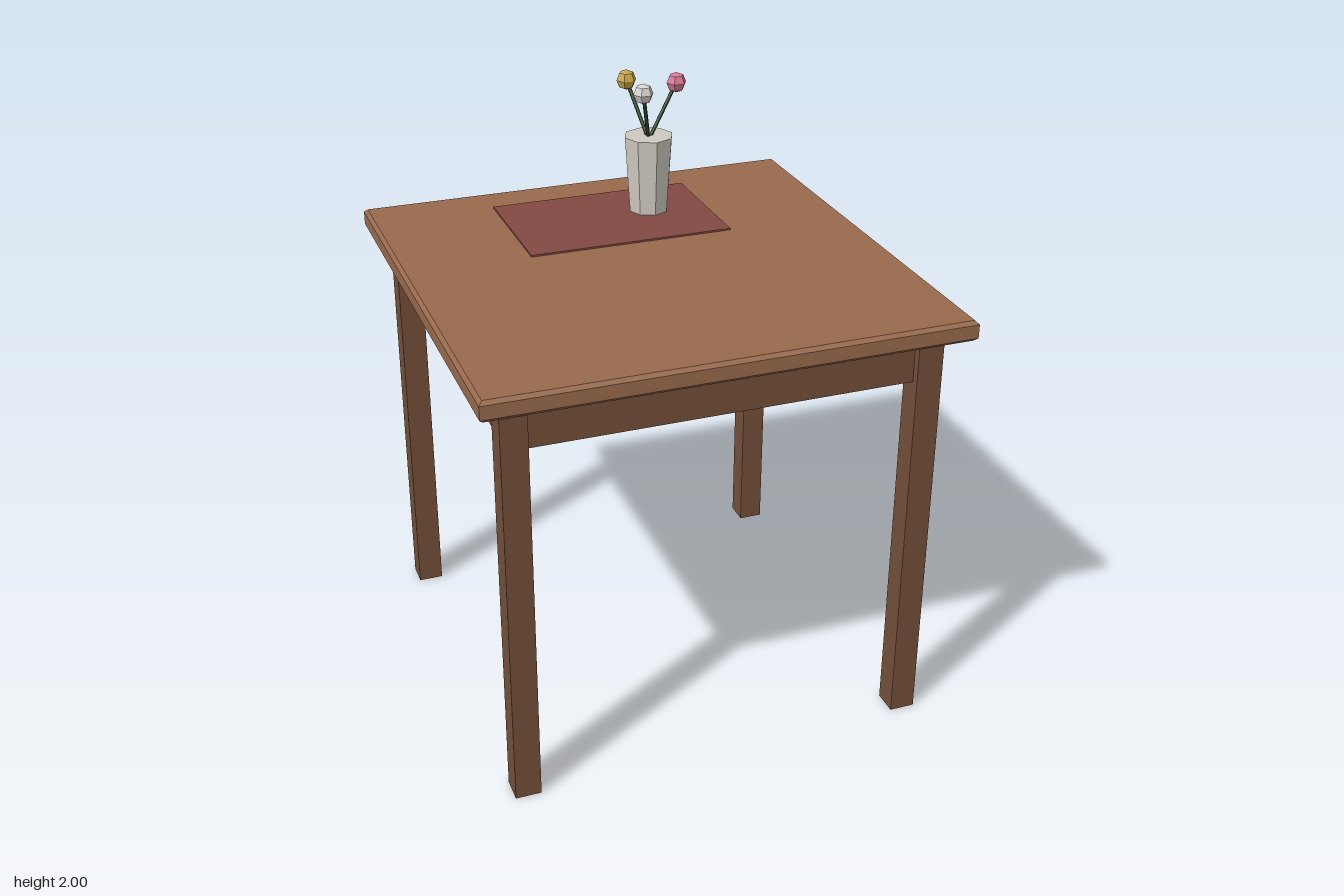
import * as THREE from 'three';

const mat = (name, color) => {
  const m = new THREE.MeshStandardMaterial({ color, flatShading: true });
  m.name = name;
  return m;
};

export function createModel() {
  const model = new THREE.Group();
  model.name = 'diningTable';

  const topWood = mat('topWood', 0x986a4d);
  const frameWood = mat('frameWood', 0x744f3a);
  const cloth = mat('cloth', 0x824a42);
  const ceramic = mat('ceramic', 0xcfcac0);
  const stemGreen = mat('stemGreen', 0x35502c);
  const petals = [mat('pinkPetal', 0xd87a93), mat('yellowPetal', 0xc9a545), mat('whitePetal', 0xd6d2cc)];

  const add = (parent, name, geometry, material, x = 0, y = 0, z = 0) => {
    const mesh = new THREE.Mesh(geometry, material);
    mesh.name = name;
    mesh.position.set(x, y, z);
    parent.add(mesh);
    return mesh;
  };

  // Square top with a small chamfer on every edge
  const bevel = 0.012, half = 0.798 - bevel;
  const outline = new THREE.Shape([
    new THREE.Vector2(-half, -half), new THREE.Vector2(half, -half),
    new THREE.Vector2(half, half), new THREE.Vector2(-half, half),
  ]);
  const slab = new THREE.ExtrudeGeometry(outline, {
    depth: 0.07 - 2 * bevel, bevelEnabled: true,
    bevelThickness: bevel, bevelSize: bevel, bevelSegments: 1,
  }).rotateX(-Math.PI / 2);
  add(model, 'tableTop', slab, topWood, 0, 1.435 + bevel, 0);

  // Solid apron block and four square legs at its corners
  add(model, 'apron', new THREE.BoxGeometry(1.394, 0.165, 1.394), frameWood, 0, 1.3575, 0);
  const legGeometry = new THREE.BoxGeometry(0.087, 1.4, 0.087);
  for (const x of [-1, 1]) for (const z of [-1, 1]) {
    add(model, 'leg', legGeometry, frameWood, x * 0.68, 0.7, z * 0.68);
  }

  // Place mat
  add(model, 'placeMat', new THREE.BoxGeometry(0.72, 0.006, 0.48), cloth, 0, 1.508, -0.403);

  // Tapered vase with three flowers fanning out evenly
  const vase = new THREE.Group();
  vase.name = 'vaseWithFlowers';
  vase.position.set(0.157, 1.508, -0.437);
  model.add(vase);
  add(vase, 'vase', new THREE.CylinderGeometry(0.088, 0.07, 0.277, 8), ceramic, 0, 0.1385, 0);

  petals.forEach((petal, i) => {
    const angle = i * Math.PI * 2 / 3;
    const dx = Math.cos(angle), dz = -Math.sin(angle);
    const foot = new THREE.Vector3(0, 0.26, 0);
    const head = new THREE.Vector3(dx * 0.102, 0.457, dz * 0.102);
    const stem = new THREE.TubeGeometry(new THREE.LineCurve3(foot, head), 1, 0.007, 5);
    add(vase, 'stem', stem, stemGreen);
    add(vase, 'flower', new THREE.SphereGeometry(0.036, 6, 4), petal, head.x, head.y, head.z);
  });

  return model;
}
